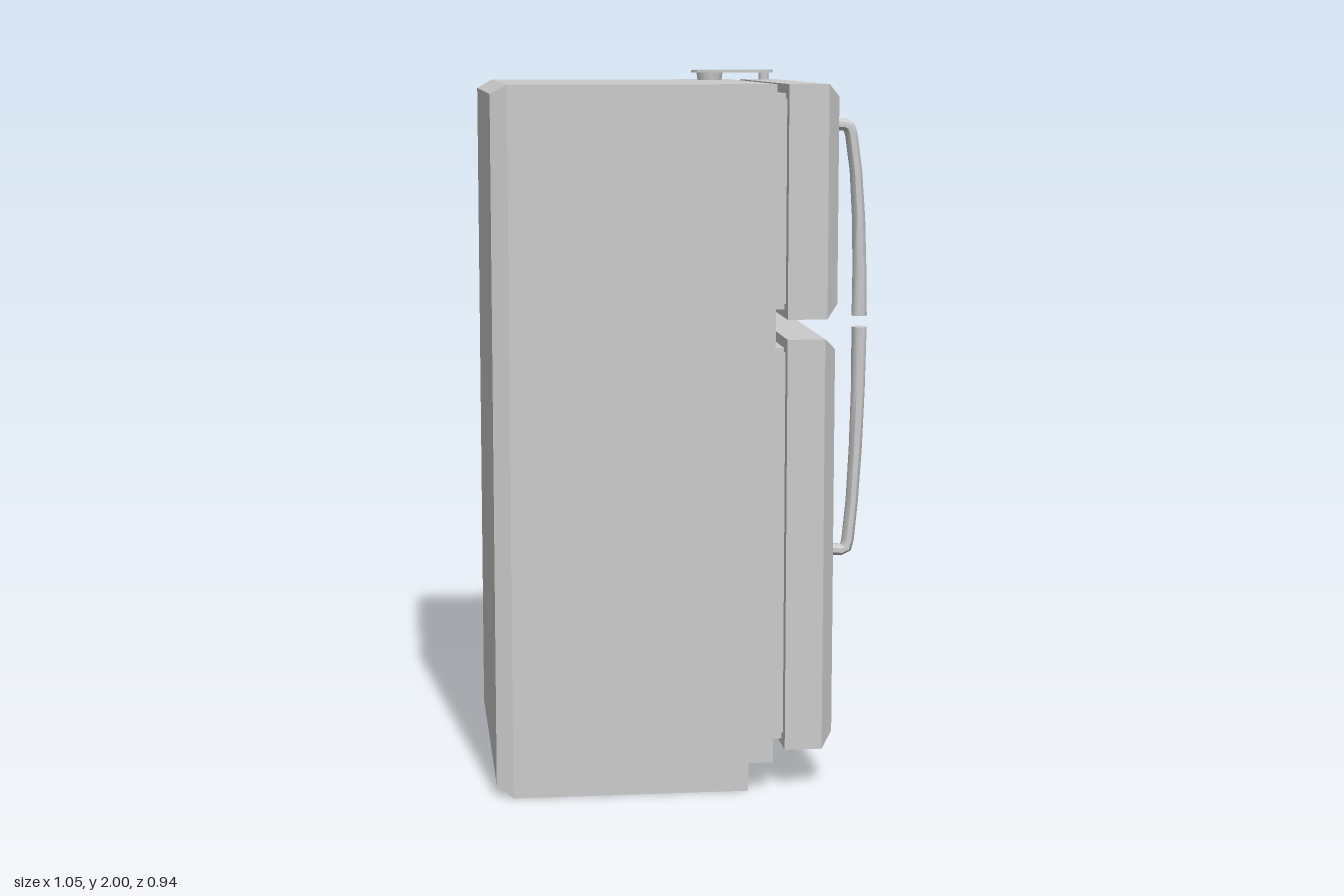
import * as THREE from 'three';
import { toCreasedNormals } from 'three/addons/utils/BufferGeometryUtils.js';

const material = new THREE.MeshStandardMaterial({ color: 0xcccccc });

// Skin a closed solid over rings of points with equal counts
function loft(rings, crease) {
  const n = rings[0].length, index = [];
  for (let i = 0; i < rings.length - 1; i++) {
    for (let j = 0; j < n; j++) {
      const a = i * n + j, b = i * n + (j + 1) % n;
      index.push(a, b, b + n, a, b + n, a + n);
    }
  }
  const last = (rings.length - 1) * n;
  for (let j = 1; j < n - 1; j++) {
    index.push(0, j + 1, j, last, last + j, last + j + 1);
  }
  const geo = new THREE.BufferGeometry().setFromPoints(rings.flat());
  geo.setIndex(index);
  return toCreasedNormals(geo, crease);
}

// Rectangular section across x
const rect = ([x, y0, y1, z0, z1]) => [[y0, z1], [y0, z0], [y1, z0], [y1, z1]]
  .map(([y, z]) => new THREE.Vector3(x, y, z));

// Bar with an eight-sided section; stations are [x, y, z, half thickness, half width]
function handleGeometry(stations) {
  const pts = stations.map(s => new THREE.Vector3(s[0], s[1], s[2]));
  const u = new THREE.Vector3(0, 0, 1);
  const rings = pts.map((p, i) => {
    const t = pts[Math.min(i + 1, pts.length - 1)].clone().sub(pts[Math.max(i - 1, 0)]);
    t.z = 0;
    const v = t.normalize().cross(u);
    return Array.from({ length: 8 }, (_, k) => {
      const a = (k + 0.5) * Math.PI / 4;
      return p.clone()
        .addScaledVector(u, Math.cos(a) * stations[i][4] * 1.08)
        .addScaledVector(v, Math.sin(a) * stations[i][3] * 1.08);
    });
  });
  return loft(rings, 0.9);
}

export function createModel() {
  const group = new THREE.Group();
  const add = (name, geo, x = 0, y = 0, z = 0) => {
    const mesh = new THREE.Mesh(geo, material);
    mesh.name = name;
    mesh.position.set(x, y, z);
    group.add(mesh);
    return mesh;
  };
  const box = (name, x0, x1, y0, y1, z0, z1) => add(name,
    new THREE.BoxGeometry(x1 - x0, y1 - y0, z1 - z0), (x0 + x1) / 2, (y0 + y1) / 2, (z0 + z1) / 2);

  // Cabinet with chamfered back and recessed toe kick
  add('cabinet', loft([
    [-0.53, 0.035, 1.945, -0.455, 0.45],
    [-0.485, 0, 1.97, -0.475, 0.47],
    [0.175, 0, 1.97, -0.475, 0.47],
    [0.175, 0.08, 1.97, -0.475, 0.47],
    [0.245, 0.08, 1.97, -0.475, 0.47],
  ].map(rect), 0.3));

  // Doors with chamfered fronts, and gaskets behind them
  for (const [name, y0, y1, front] of [['freezerDoor', 1.33, 1.97, 0.425], ['fridgeDoor', 0.115, 1.275, 0.42]]) {
    add(name, loft([
      [0.278, y0, y1, -0.475, 0.47],
      [front - 0.037, y0, y1, -0.475, 0.47],
      [front, y0 + 0.037, y1 - 0.034, -0.42, 0.415],
    ].map(rect), 0.3));
    box(name + 'Gasket', 0.243, 0.272, y0 + 0.027, y1 - 0.025, -0.453, 0.447);
    box(name + 'Liner', 0.268, 0.282, y0 + 0.04, y1 - 0.04, -0.44, 0.435);
  }

  // Curved handles hanging off each door
  add('freezerHandle', handleGeometry([
    [0.418, 1.857, 0.33, 0.018, 0.022],
    [0.455, 1.857, 0.33, 0.017, 0.022],
    [0.468, 1.85, 0.33, 0.017, 0.022],
    [0.475, 1.83, 0.33, 0.016, 0.022],
    [0.489, 1.73, 0.33, 0.016, 0.022],
    [0.498, 1.6, 0.33, 0.017, 0.022],
    [0.502, 1.46, 0.33, 0.018, 0.022],
    [0.503, 1.325, 0.33, 0.02, 0.022],
  ]));
  add('fridgeHandle', handleGeometry([
    [0.415, 0.663, 0.342, 0.016, 0.022],
    [0.455, 0.66, 0.342, 0.015, 0.022],
    [0.469, 0.666, 0.342, 0.016, 0.022],
    [0.475, 0.69, 0.341, 0.016, 0.022],
    [0.486, 0.8, 0.339, 0.016, 0.022],
    [0.495, 0.95, 0.336, 0.017, 0.022],
    [0.501, 1.12, 0.333, 0.018, 0.022],
    [0.503, 1.293, 0.33, 0.02, 0.022],
  ]));

  // Top hinge: tapered plate on a raised pad and a pin
  const outline = [[0.11, -0.35], [0.12, -0.385], [0.145, -0.412], [0.33, -0.425], [0.355, -0.418],
    [0.366, -0.4], [0.361, -0.378], [0.345, -0.365], [0.17, -0.298], [0.125, -0.318]];
  const plate = new THREE.ExtrudeGeometry(
    new THREE.Shape(outline.map(([x, z]) => new THREE.Vector2(x, -z))),
    { depth: 0.008, bevelEnabled: false });
  plate.rotateX(-Math.PI / 2);
  add('hingePlate', plate, 0, 1.992, 0);
  add('hingePad', new THREE.CylinderGeometry(0.04, 0.036, 0.028, 12), 0.167, 1.981, -0.355);
  add('hingePin', new THREE.CylinderGeometry(0.015, 0.015, 0.03, 12), 0.338, 1.98, -0.396);

  // Pin between the two doors
  add('middleHingePin', new THREE.CylinderGeometry(0.015, 0.015, 0.08, 12), 0.336, 1.302, -0.396);

  // Small blank plate on the freezer door
  box('doorPlate', 0.42, 0.433, 1.828, 1.896, -0.37, -0.302);

  return group;
}
